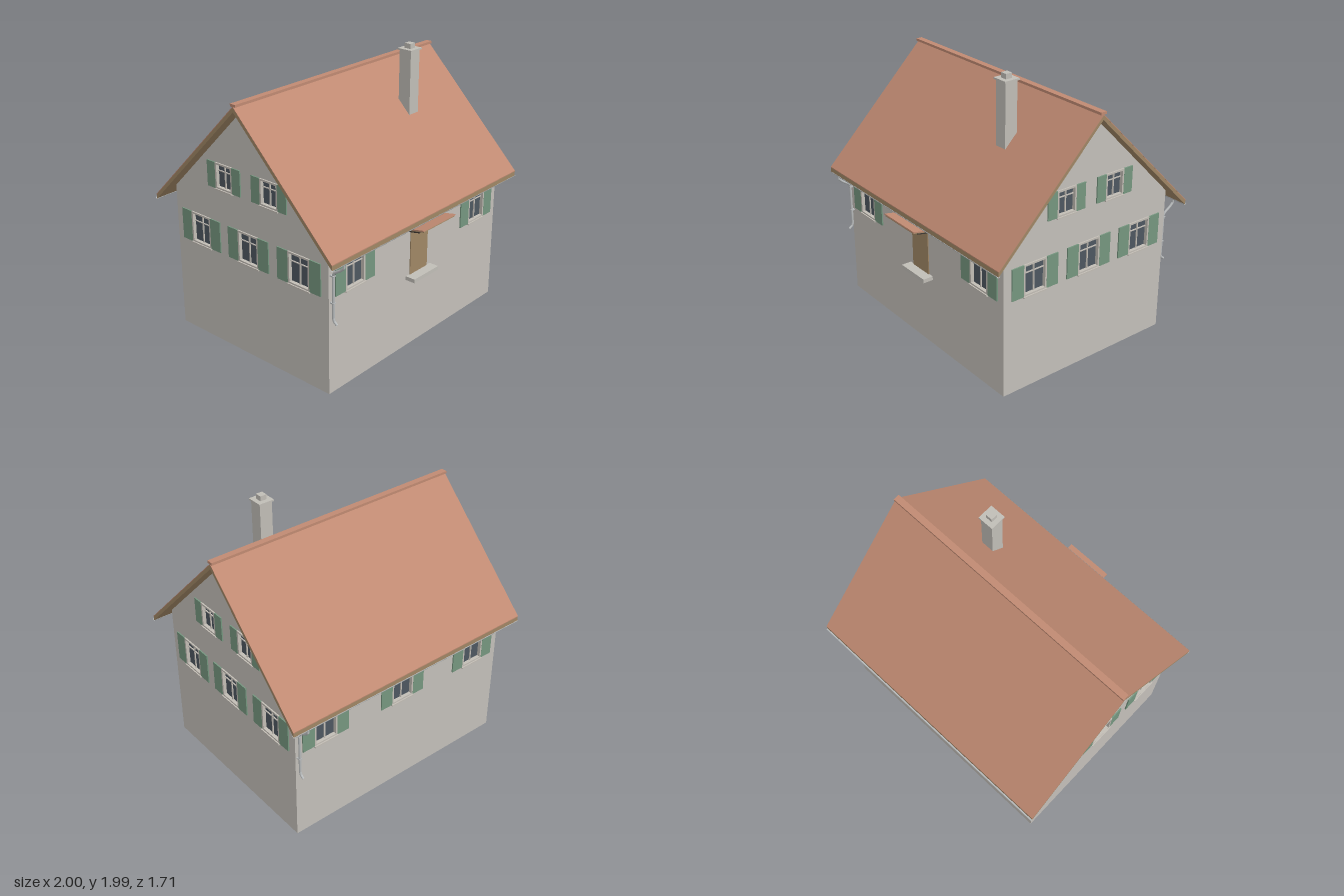
import * as THREE from 'three';

const mat = (name, color, side = THREE.FrontSide) => {
  const m = new THREE.MeshStandardMaterial({ color, side });
  m.name = name;
  return m;
};

export function createModel() {
  const plaster = mat('plaster', 0xc3bfb9, THREE.DoubleSide);
  const tile = mat('roof tile', 0xc08a72);
  const wood = mat('wood', 0x9f8665);
  const green = mat('shutter green', 0x75967f);
  const glass = mat('glass', 0x4d5760, THREE.DoubleSide);
  const trim = mat('window trim', 0xc2bdb5);
  const stone = mat('stone', 0xc0bdb6);
  const zinc = mat('zinc', 0xb9bcbd, THREE.DoubleSide);
  const iron = mat('dark iron', 0x3d3833);

  const house = new THREE.Group();
  house.name = 'house';
  house.position.z = -0.027;

  const add = (parent, name, geo, material, x = 0, y = 0, z = 0) => {
    const m = new THREE.Mesh(geo, material);
    m.name = name;
    m.position.set(x, y, z);
    parent.add(m);
    return m;
  };
  const box = (parent, name, material, w, h, d, x, y, z) =>
    add(parent, name, new THREE.BoxGeometry(w, h, d), material, x, y, z);
  const poly = (pts) => pts.map(([x, y]) => new THREE.Vector2(x, y));
  const rect = (x, y, w, h) => poly([
    [x - w / 2, y - h / 2], [x + w / 2, y - h / 2], [x + w / 2, y + h / 2], [x - w / 2, y + h / 2]]);

  // Window with surround, bars, sill and a pair of open shutters, facing local +z
  const SMALL = { w: 0.158, h: 0.185, shutter: 0.077 };
  const LARGE = { w: 0.188, h: 0.228, shutter: 0.095 };
  const RIM = 0.013;
  function addWindow(parent, x, y, s) {
    const g = new THREE.Group();
    g.name = 'window';
    g.position.set(x, y, 0);
    parent.add(g);
    const gw = s.w - 2 * RIM, gh = s.h - 2 * RIM;
    const ring = new THREE.Shape(rect(0, 0, s.w, s.h));
    ring.holes.push(new THREE.Path(rect(0, 0, gw, gh)));
    const ringGeo = new THREE.ExtrudeGeometry(ring, { depth: 0.03, bevelEnabled: false });
    add(g, 'windowSurround', ringGeo, trim, 0, 0, -0.02);
    add(g, 'windowGlass', new THREE.PlaneGeometry(gw, gh), glass, 0, 0, -0.015);
    box(g, 'mullion', trim, 0.009, gh, 0.008, 0, 0, -0.01);
    box(g, 'transom', trim, gw, 0.006, 0.008, 0, gh * 0.22, -0.01);
    box(g, 'windowSill', trim, s.w + 0.008, 0.01, 0.022, 0, -s.h / 2 - 0.003, 0.008);
    for (const side of [-1, 1]) {
      box(g, 'shutter', green, s.shutter, s.h, 0.009, side * (s.w + s.shutter) / 2, 0, 0.006);
    }
  }

  // One wall sheet with openings, turned to face outwards
  function addWall(name, angle, dist, outline, windows) {
    const g = new THREE.Group();
    g.name = name;
    g.rotation.y = angle;
    house.add(g);
    const face = new THREE.Group();
    face.name = name + 'Face';
    face.position.z = dist;
    g.add(face);
    const shape = new THREE.Shape(poly(outline));
    for (const [x, y, s] of windows) {
      shape.holes.push(new THREE.Path(rect(x, y, s.w - 2 * RIM, s.h - 2 * RIM)));
      addWindow(face, x, y, s);
    }
    add(face, name + 'Plaster', new THREE.ShapeGeometry(shape), plaster);
    return face;
  }

  const HX = 0.91, HZ = 0.7075, WALL_TOP = 1.075, APEX = 1.784;
  const LOW = 0.811, HIGH = 1.264;
  const longWall = [[-HX, 0], [HX, 0], [HX, WALL_TOP], [-HX, WALL_TOP]];
  const gable = [[-HZ, 0], [HZ, 0], [HZ, WALL_TOP], [0, APEX], [-HZ, WALL_TOP]];
  const gableWindows = [
    ...[-0.458, 0, 0.458].map((x) => [x, LOW, LARGE]),
    ...[-0.207, 0.207].map((x) => [x, HIGH, SMALL])];

  const front = addWall('frontWall', 0, HZ, longWall, [-0.665, 0.665].map((x) => [x, LOW, LARGE]));
  addWall('backWall', Math.PI, HZ, longWall, [-0.665, 0, 0.665].map((x) => [x, LOW, LARGE]));
  addWall('leftGable', Math.PI / 2, HX, gable, gableWindows);
  addWall('rightGable', -Math.PI / 2, HX, gable, gableWindows);

  // Door, step and canopy tilted up at its outer edge
  box(front, 'door', wood, 0.187, 0.36, 0.012, 0, 0.73, 0);
  box(front, 'doorStep', stone, 0.266, 0.028, 0.075, 0, 0.536, 0.0375);
  const canopy = new THREE.Group();
  canopy.name = 'doorCanopy';
  canopy.position.set(0, 0.913, 0);
  canopy.rotation.x = -0.2;
  front.add(canopy);
  box(canopy, 'canopyTiles', tile, 0.352, 0.008, 0.175, 0, 0.008, 0.087);
  box(canopy, 'canopyBoard', wood, 0.34, 0.008, 0.17, 0, 0, 0.085);
  for (const x of [-0.16, 0.16]) {
    box(front, 'canopyBracket', iron, 0.012, 0.03, 0.01, x, 0.9, 0.005);
    const arm = box(front, 'canopyArm', iron, 0.012, 0.01, 0.13, x, 0.917, 0.065);
    arm.rotation.x = -0.2;
  }

  // Prism along x from a (z, y) cross-section
  const prism = (pts, length) => {
    const geo = new THREE.ExtrudeGeometry(new THREE.Shape(poly(pts)), { depth: length, bevelEnabled: false });
    geo.translate(0, 0, -length / 2);
    return geo.rotateY(-Math.PI / 2);
  };
  // Roof: timber chevron with a thin tile skin
  const E = 0.816, TOP = 1.816, T = 0.006;
  add(house, 'roofTimber', prism([
    [-E, TOP - E], [-E, TOP - E - 0.032], [0, APEX], [E, TOP - E - 0.032], [E, TOP - E], [0, TOP]], 1.998), wood);
  add(house, 'roofTiles', prism([
    [-E, TOP - E + T], [-E, TOP - E], [0, TOP], [E, TOP - E], [E, TOP - E + T], [0, TOP + T]], 2), tile);
  box(house, 'ridgeCap', tile, 2, 0.018, 0.046, 0, 1.828, 0);

  // Chimney
  box(house, 'chimneyStack', stone, 0.097, 0.5, 0.097, 0.4, 1.695, 0.281);
  box(house, 'chimneyCap', stone, 0.118, 0.012, 0.118, 0.4, 1.95, 0.281);
  box(house, 'chimneyPot', stone, 0.05, 0.036, 0.05, 0.4, 1.973, 0.281);

  // Gutter and downpipe, repeated on the back by a half turn
  const path = new THREE.CurvePath();
  const bends = [[0.816, 0.972], [0.816, 0.945], [0.79, 0.92], [0.74, 0.888], [0.727, 0.87], [0.727, 0.56], [0.733, 0.54], [0.757, 0.522]]
    .map(([z, y]) => new THREE.Vector3(-0.888, y, z));
  for (let i = 1; i < bends.length; i++) path.add(new THREE.LineCurve3(bends[i - 1], bends[i]));
  for (const angle of [0, Math.PI]) {
    const g = new THREE.Group();
    g.name = 'rainwaterSystem';
    g.rotation.y = angle;
    house.add(g);
    const trough = new THREE.CylinderGeometry(0.013, 0.013, 1.998, 10, 1, true, 0, Math.PI);
    trough.rotateZ(-Math.PI / 2).rotateX(0);
    add(g, 'gutter', trough, zinc, 0, 0.978, 0.816);
    add(g, 'downpipe', new THREE.TubeGeometry(path, 60, 0.009, 8), zinc);
    for (const y of [0.67, 0.86]) box(g, 'pipeClip', zinc, 0.024, 0.008, 0.03, -0.888, y, 0.722);
  }

  const model = new THREE.Group();
  model.name = 'model';
  model.add(house);
  return model;
}
